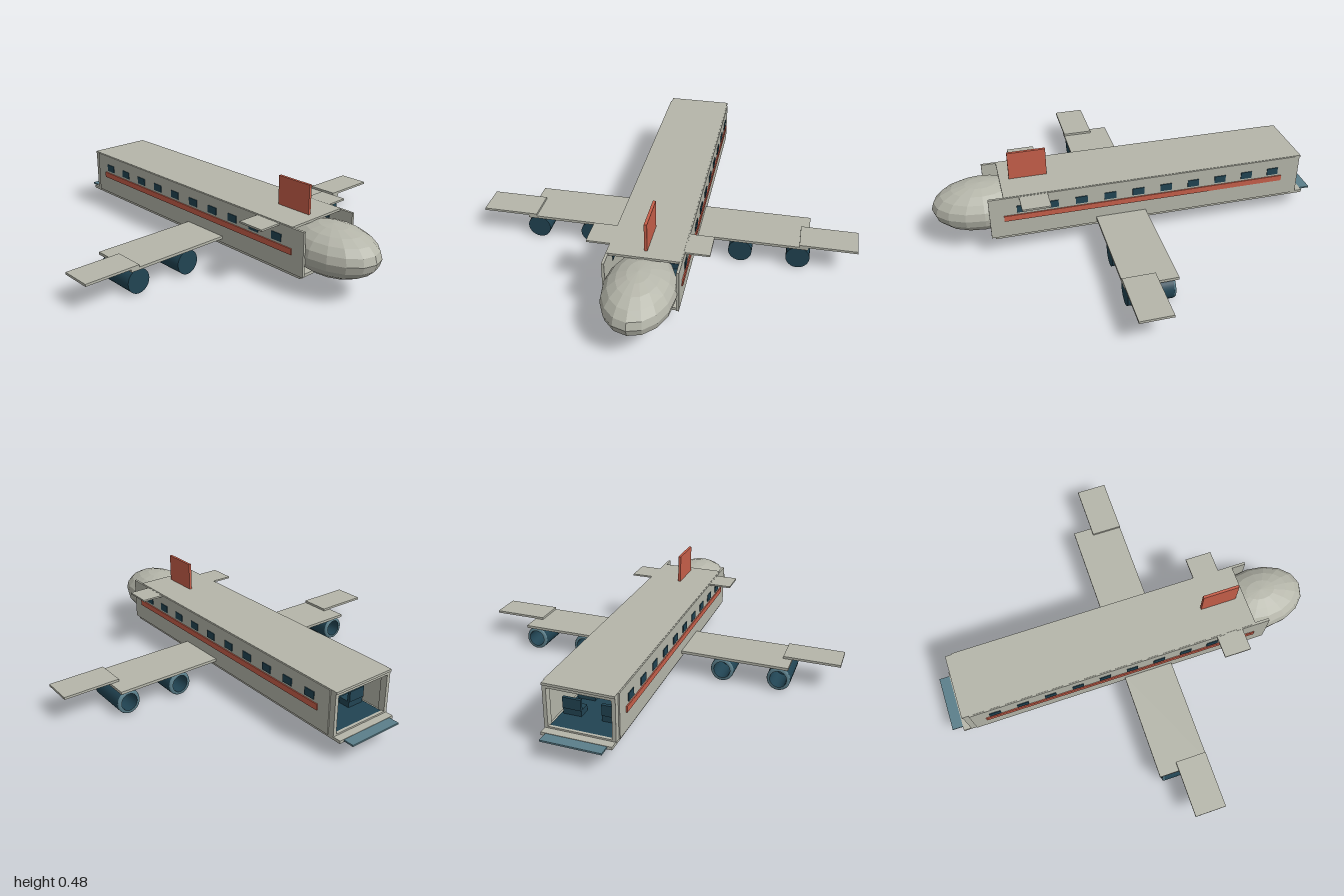
import * as THREE from 'three';

const mat = (name, color) => {
  const m = new THREE.MeshStandardMaterial({ color });
  m.name = name;
  return m;
};

export function createModel() {
  const model = new THREE.Group();
  model.name = 'airliner';
  const hull = mat('warm grey', 0xb5b6aa);
  const red = mat('brick red', 0xc75f4a);
  const navy = mat('dark teal', 0x214453);
  const teal = mat('slate teal', 0x5b7f8b);
  const noseMat = hull.clone();
  noseMat.name = 'warm grey faceted';
  noseMat.flatShading = true;

  const add = (name, geometry, material, parent = model) => {
    const mesh = new THREE.Mesh(geometry, material);
    mesh.name = name;
    parent.add(mesh);
    return mesh;
  };
  // Box given by its extents along each axis
  const slab = (name, material, [x0, x1], [y0, y1], [z0, z1], parent = model) => {
    const g = new THREE.BoxGeometry(Math.abs(x1 - x0), y1 - y0, z1 - z0);
    g.translate((x0 + x1) / 2, (y0 + y1) / 2, (z0 + z1) / 2);
    return add(name, g, material, parent);
  };

  // Hollow cabin: floor, deck, roof and loading ramp
  slab('floor', hull, [-0.168, 0.168], [0.093, 0.108], [-0.945, 0.71]);
  slab('deck', navy, [-0.15, 0.15], [0.108, 0.114], [-0.89, 0.6]);
  slab('roof', hull, [-0.17, 0.17], [0.32, 0.332], [-0.91, 0.655]);
  slab('ramp', teal, [-0.145, 0.145], [0.098, 0.106], [-1, -0.94]);

  // Doorway frame at the tail
  slab('doorSill', hull, [-0.155, 0.155], [0.106, 0.116], [-0.905, -0.89]);
  slab('doorHeader', hull, [-0.155, 0.155], [0.306, 0.32], [-0.905, -0.885]);

  // Nose dome
  const nose = new THREE.SphereGeometry(1, 16, 10);
  nose.scale(0.17, 0.122, 0.25);
  nose.translate(0, 0.212, 0.75);
  add('nose', nose, noseMat);

  // Upright fin
  slab('fin', red, [-0.007, 0.007], [0.33, 0.478], [0.415, 0.607]);

  // Hollow engine, closed at the front and open at the back
  const engineProfile = [[0, 0.185], [0.06, 0.185], [0.06, -0.036]]
    .map(([r, z]) => new THREE.Vector2(r, -z));
  const boreProfile = [[0.043, -0.045], [0.043, 0.1], [0, 0.1]]
    .map(([r, z]) => new THREE.Vector2(r, -z));
  const rimProfile = [[0.06, -0.036], [0.056, -0.045], [0.043, -0.045]]
    .map(([r, z]) => new THREE.Vector2(r, -z));

  for (const s of [1, -1]) {
    const side = new THREE.Group();
    side.name = s > 0 ? 'leftSide' : 'rightSide';
    model.add(side);
    const box = (name, material, [x0, x1], y, z) =>
      slab(name, material, [s * x0, s * x1], y, z, side);

    // Wall and tail doorpost
    box('wall', hull, [0.163, 0.176], [0.108, 0.33], [-0.875, 0.73]);
    box('doorPost', hull, [0.152, 0.17], [0.106, 0.32], [-0.905, -0.87]);

    // Stripe and windows, showing on the inside as well
    box('stripe', red, [0.176, 0.182], [0.2, 0.23], [-0.806, 0.66]);
    for (let i = 0; i < 10; i++) {
      const z = 0.565 - i * 0.1464;
      box('window', navy, [0.175, 0.18], [0.242, 0.28], [z - 0.03, z + 0.03]);
      box('windowInside', navy, [0.16, 0.164], [0.242, 0.28], [z - 0.03, z + 0.03]);
    }

    // Cabin seats
    for (let i = 0; i < 9; i++) {
      const z = 0.42 - i * 0.1464;
      box('seat', navy, [0.05, 0.14], [0.114, 0.145], [z - 0.03, z + 0.03]);
      box('seatBack', navy, [0.05, 0.14], [0.145, 0.2], [z - 0.035, z - 0.02]);
    }

    // Main wing, raised tip panel and forward stabiliser
    box('wing', hull, [0.165, 0.73], [0.128, 0.142], [-0.06, 0.2]);
    box('wingTip', hull, [0.685, 0.972], [0.142, 0.154], [0.04, 0.2]);
    box('stabiliser', hull, [0.16, 0.29], [0.32, 0.329], [0.44, 0.58]);

    // Two engines under the wing
    for (const x of [0.39, 0.682]) {
      const engine = new THREE.Group();
      engine.name = 'engine';
      engine.position.set(s * x, 0.064, 0);
      engine.rotation.x = -Math.PI / 2;
      engine.scale.set(1, 1, 1.05);
      side.add(engine);
      const lathe = (name, pts, material) =>
        add(name, new THREE.LatheGeometry(pts, 24), material, engine);
      const shell = navy;
      shell.side = THREE.DoubleSide;
      teal.side = THREE.DoubleSide;
      lathe('engineCap', engineProfile.slice(0, 2), shell);
      lathe('engineShell', engineProfile.slice(1), shell);
      lathe('engineRim', rimProfile, teal);
      lathe('engineBore', boreProfile.slice(0, 2), shell);
      lathe('engineFan', boreProfile.slice(1), shell);
    }
  }
  return model;
}
